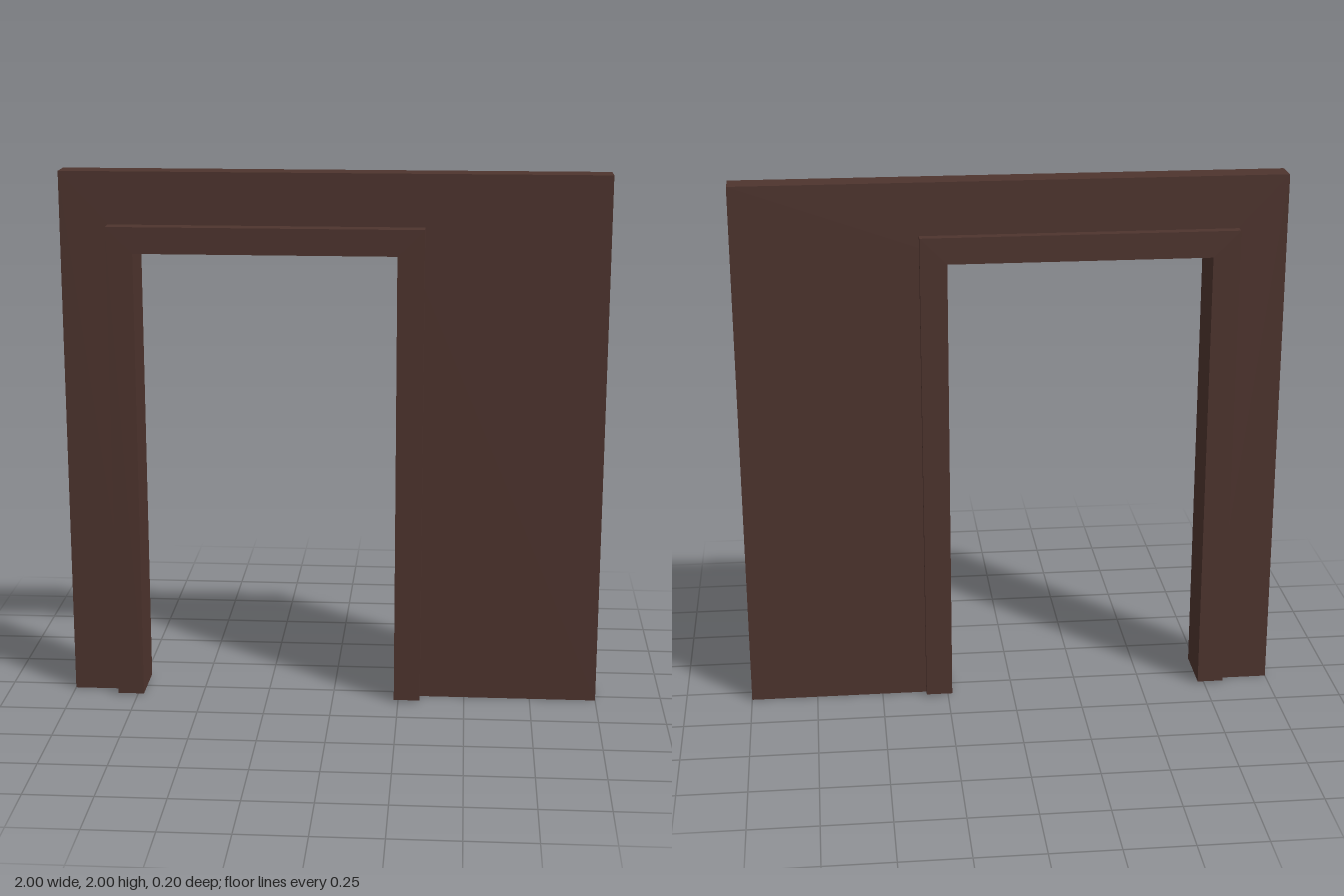
import * as THREE from 'three';

// Upright slab with a doorway cut up from its bottom edge
function archway(name, outer, inner, zBack, zFront, material) {
  const shape = new THREE.Shape([
    [outer.left, outer.bottom], [inner.left, outer.bottom],
    [inner.left, inner.top], [inner.right, inner.top],
    [inner.right, outer.bottom], [outer.right, outer.bottom],
    [outer.right, outer.top], [outer.left, outer.top],
  ].map(([x, y]) => new THREE.Vector2(x, y)));
  const geometry = new THREE.ExtrudeGeometry(shape, { depth: zFront - zBack, bevelEnabled: false });
  geometry.translate(0, 0, zBack);
  const mesh = new THREE.Mesh(geometry, material);
  mesh.name = name;
  return mesh;
}

export function createModel() {
  const darkWood = new THREE.MeshStandardMaterial({ color: 0x4e342e });
  darkWood.name = 'darkWood';

  const group = new THREE.Group();
  group.name = 'doorwayWall';

  // Wall panel, set slightly back from the middle of the frame
  group.add(archway('wall',
    { left: -1, right: 1, bottom: 0, top: 2 },
    { left: -0.755, right: 0.265, top: 1.74 },
    -0.063, 0.038, darkWood));

  // Door frame, standing proud on both sides of the wall
  group.add(archway('doorFrame',
    { left: -0.823, right: 0.332, bottom: 0.007, top: 1.807 },
    { left: -0.725, right: 0.234, top: 1.71 },
    -0.1, 0.1, darkWood));

  return group;
}
